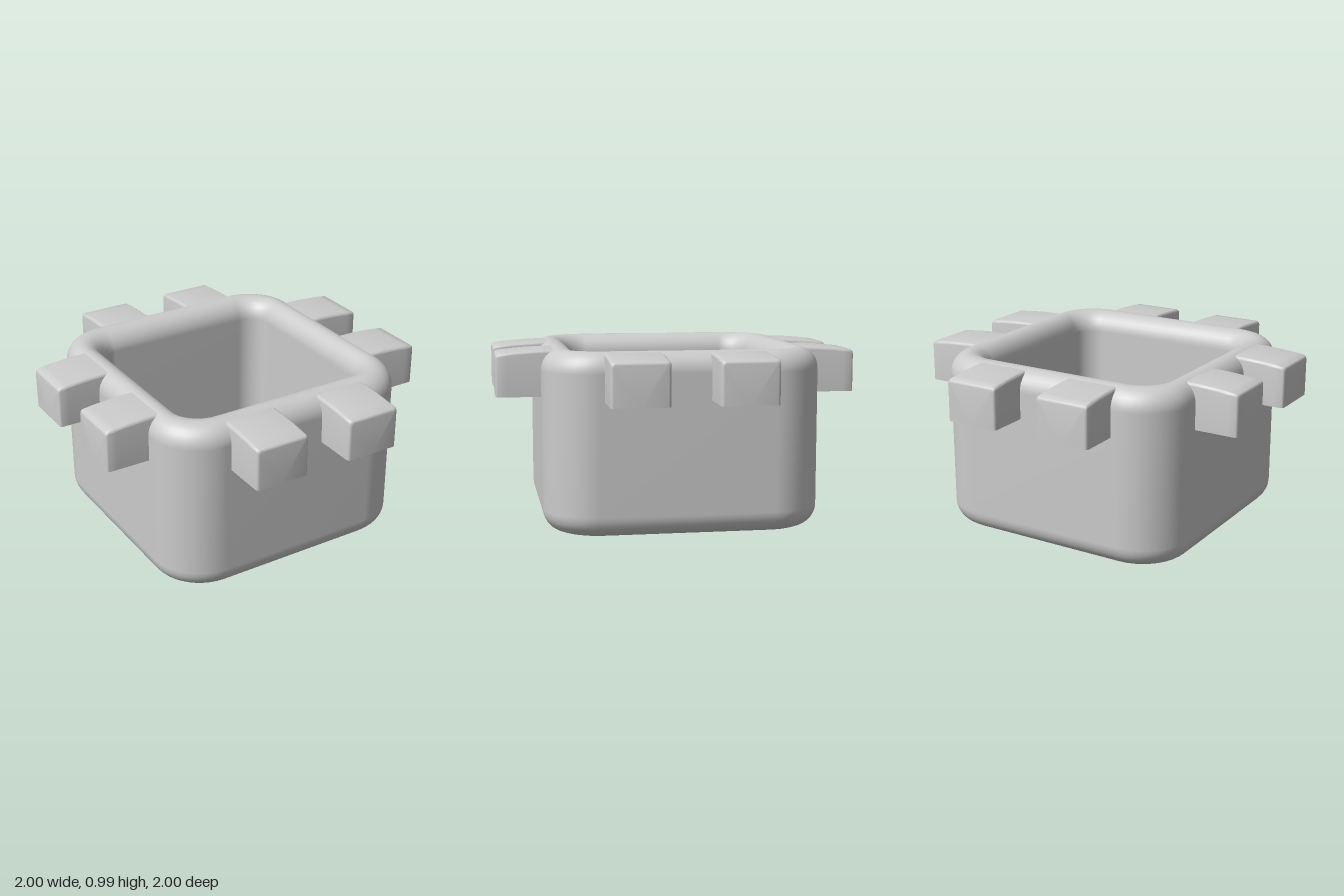
import * as THREE from 'three';
import { toCreasedNormals } from 'three/addons/utils/BufferGeometryUtils.js';

const material = new THREE.MeshStandardMaterial({ color: 0xcccccc, side: THREE.DoubleSide });

// Skin a list of equal-length sections; closed = wrap both around and along
function loft(sections, closed) {
  const m = sections.length, n = sections[0].length, index = [];
  for (let i = 0; i < (closed ? m : m - 1); i++) {
    for (let j = 0; j < (closed ? n : n - 1); j++) {
      const i2 = (i + 1) % m, j2 = (j + 1) % n;
      const a = i * n + j, b = i * n + j2, c = i2 * n + j2, d = i2 * n + j;
      index.push(a, b, c, a, c, d);
    }
  }
  const g = new THREE.BufferGeometry();
  g.setAttribute('position', new THREE.Float32BufferAttribute(sections.flat(2), 3));
  g.setIndex(index);
  g.computeVertexNormals();
  return g;
}

// Square ring wall, open top and bottom, with fully rounded rims
function bodyGeometry() {
  const height = 0.993, rimY = 0.115, rimSteps = 14;
  const mix = THREE.MathUtils.lerp;
  // wall cross-section: t = 0 outside, t = 1 inside
  const profile = [];
  for (const top of [true, false]) {
    for (let k = 0; k <= rimSteps; k++) {
      const a = (k / rimSteps) * Math.PI;
      const t = 0.5 - 0.5 * Math.cos(a), s = Math.sin(a) * rimY;
      profile.push(top ? [t, height - rimY + s] : [1 - t, rimY - s]);
    }
  }
  const sections = profile.map(([t, y]) => {
    const hx = mix(0.752, 0.563, t), hz = mix(0.765, 0.55, t), r = mix(0.29, 0.13, t);
    const ring = [];
    for (let q = 0; q < 4; q++) {
      const sx = q === 0 || q === 3 ? 1 : -1, sz = q < 2 ? 1 : -1;
      for (let k = 0; k <= 10; k++) {
        const a = (q + k / 10) * Math.PI / 2;
        ring.push([
          -0.004 + sx * (hx - r) + r * Math.cos(a), y,
          -0.01 + sz * (hz - r) + r * Math.sin(a),
        ]);
      }
    }
    return ring;
  });
  return loft(sections.map((s) => s.reverse()), true);
}

// Hollow tab, open underneath, pointing to +z with a gently drooping top
function tabGeometry() {
  const half = 0.156, bottom = 0.732, bevel = 0.018, steps = 4;
  const arch = (z, top, inset) => {
    const w = half - inset, y = top - inset, pts = [[w, bottom, z]];
    for (const side of [0, 1]) {
      for (let k = 0; k <= steps; k++) {
        const a = (side + k / steps) * Math.PI / 2;
        pts.push([(side ? -1 : 1) * (w - bevel) + bevel * Math.cos(a), y - bevel + bevel * Math.sin(a), z]);
      }
    }
    pts.push([-w, bottom, z]);
    return pts;
  };
  const topAt = (z) => 0.986 - 0.021 * Math.pow(Math.max(0, (z - 0.74) / 0.26), 1.6);
  const sections = [0.68, 0.74, 0.79, 0.84, 0.89, 0.94, 0.982].map((z) => arch(z, topAt(z), 0));
  // rounded outer edge, then the flat end face
  for (let k = 1; k <= steps; k++) {
    const a = (k / steps) * Math.PI / 2;
    sections.push(arch(1 - bevel + bevel * Math.sin(a), topAt(1), bevel * 0.9 * (1 - Math.cos(a))));
  }
  sections.push(sections[0].map(() => [0, bottom, 1]));
  // drop the zero-area triangles at the end point
  const g = loft(sections.map((s) => s.reverse()), false);
  return toCreasedNormals(g, 0.6);
}

export function createModel() {
  const model = new THREE.Group();
  model.name = 'squareRingWithTabs';

  const body = new THREE.Mesh(bodyGeometry(), material);
  body.name = 'body';
  model.add(body);

  // Two tabs on each of the four sides
  const tab = tabGeometry();
  ['front', 'left', 'back', 'right'].forEach((name, k) => {
    const side = new THREE.Group();
    side.name = name + 'Tabs';
    side.rotation.y = k * Math.PI / 2;
    for (const x of [-0.285, 0.285]) {
      const mesh = new THREE.Mesh(tab, material);
      mesh.name = 'tab';
      mesh.position.x = x;
      side.add(mesh);
    }
    model.add(side);
  });
  return model;
}
